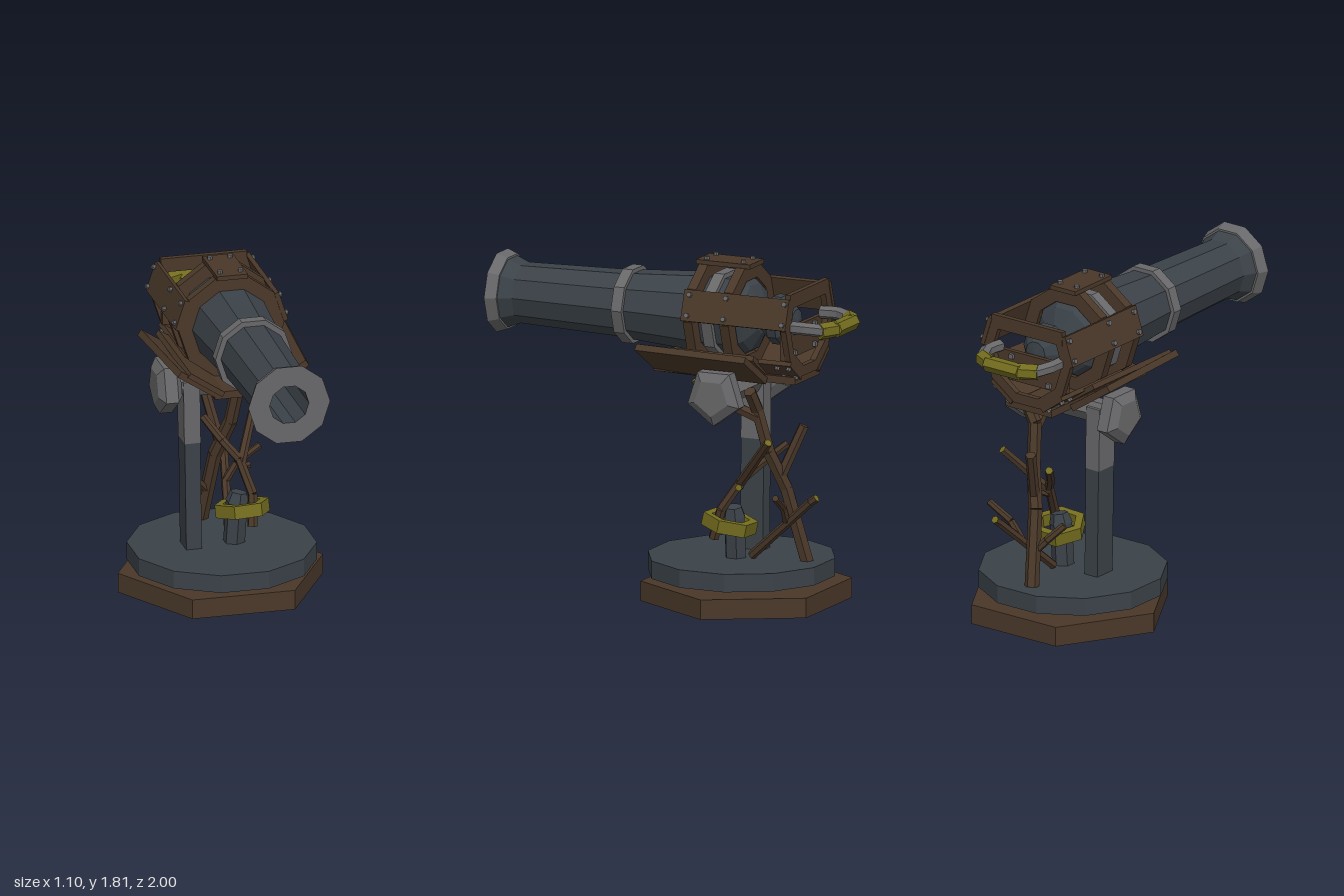
import * as THREE from 'three';

const mat = (name, color) => Object.assign(new THREE.MeshStandardMaterial({ color }), { name });
const V = (x, y, z) => new THREE.Vector3(x, y, z);

export function createModel() {
  const wood = mat('wood', 0x4a3829);
  const iron = mat('iron', 0x3b4248);
  const steel = mat('steel', 0x68686a);
  const brass = mat('brass', 0x746d1f);
  const pale = mat('paleUnderside', 0xcccccc);
  const model = new THREE.Group();
  model.name = 'cannonOnStand';
  const AXIS = 1.5; // height of the barrel axis

  // Faceted mesh
  function add(name, geo, material, parent = model) {
    const g = geo.index ? geo.toNonIndexed() : geo;
    g.computeVertexNormals();
    const m = new THREE.Mesh(g, material);
    m.name = name;
    parent.add(m);
    return m;
  }
  function box(name, material, w, h, d, x, y, z, parent) {
    const m = add(name, new THREE.BoxGeometry(w, h, d), material, parent);
    m.position.set(x, y, z);
    return m;
  }
  // Ten-sided turned part along z; points are [apothem, z] with z rising on the outside
  function turned(name, pts, material, sides = 10, from = Math.PI / 10) {
    const p = pts.map(([r, z]) => new THREE.Vector2(r / Math.cos(Math.PI / 10), z));
    const g = new THREE.LatheGeometry(p, sides, from, sides * Math.PI / 5).rotateX(Math.PI / 2);
    g.translate(0, AXIS, 0);
    return add(name, g, material);
  }
  const ring = (ri, ro, z0, z1) => [[ri, z0], [ro, z0], [ro, z1], [ri, z1], [ri, z0]];
  // Tapered stick between two points
  function stick(name, a, b, ra, rb, material, sides = 6) {
    const d = b.clone().sub(a);
    const m = add(name, new THREE.CylinderGeometry(rb, ra, d.length(), sides), material);
    m.position.copy(a).addScaledVector(d, 0.5);
    m.quaternion.setFromUnitVectors(V(0, 1, 0), d.normalize());
    return m;
  }

  // Base
  const base = add('base', new THREE.CylinderGeometry(0.548, 0.548, 0.105, 6).rotateY(Math.PI / 2), [wood, wood, pale]);
  base.position.set(0, 0.0525, -0.4);
  add('baseNeck', new THREE.CylinderGeometry(0.21, 0.21, 0.045, 6).rotateY(Math.PI / 2), wood).position.set(0, 0.122, -0.37);
  add('turntable', new THREE.CylinderGeometry(0.492, 0.492, 0.095, 12).rotateY(Math.PI / 12), iron).position.set(0, 0.1875, -0.372);

  // Column
  const column = new THREE.Group();
  column.name = 'column';
  column.position.set(-0.165, 0.23, -0.37);
  column.rotation.z = 0.014;
  model.add(column);
  box('columnLower', iron, 0.083, 0.59, 0.13, 0, 0.295, 0, column);
  box('columnUpper', steel, 0.088, 0.34, 0.13, 0, 0.76, 0, column);

  // Axle with a weight on each end
  stick('axle', V(-0.25, 1.128, -0.37), V(0.25, 1.128, -0.37), 0.065, 0.065, steel);
  for (const s of [-1, 1]) {
    const p = [[0, -0.064], [0.1, -0.064], [0.155, -0.033], [0.155, 0.033], [0.1, 0.064], [0, 0.064]]
      .map(([r, t]) => new THREE.Vector2(r, t));
    const g = new THREE.LatheGeometry(p, 5, Math.PI / 2).rotateZ(-Math.PI / 2);
    add('axleWeight', g, steel).position.set(s * 0.3, 1.133, -0.37);
  }

  // Barrel
  turned('breechBall', [[0, -0.7], [0.06, -0.69], [0.125, -0.62], [0.125, -0.57], [0.065, -0.5], [0.065, -0.47]], iron);
  turned('barrelRear', [[0, -0.5], [0.08, -0.5], [0.17, -0.45], [0.2, -0.4], [0.2, -0.17], [0.172, 0.25]], iron);
  turned('barrelFront', [[0.168, 0.25], [0.152, 0.87], [0.178, 0.94]], iron);
  turned('muzzle', [[0.17, 0.94], [0.188, 0.94], [0.208, 1], [0.1, 1]], steel);
  turned('bore', [[0.1, 1], [0.1, 0.45], [0, 0.45]], iron);
  turned('middleBand', ring(0.16, 0.195, 0.22, 0.28), steel);
  turned('rearBand', ring(0.19, 0.225, -0.31, -0.25), steel);

  // Wooden hoops round the rear of the barrel, the last one open at the top
  turned('frontHoop', ring(0.195, 0.268, -0.222, -0.17), wood);
  turned('middleHoop', ring(0.195, 0.268, -0.432, -0.38), wood);
  turned('backHoop', ring(0.215, 0.268, -0.762, -0.73), wood, 7, -0.7 * Math.PI);

  // Planks on the hoops, with bolts at their corners
  function plank(name, angle, width, z0, z1, boltZ) {
    const g = new THREE.Group();
    g.name = name;
    g.position.y = AXIS;
    g.rotation.z = angle;
    model.add(g);
    box(name + 'Board', wood, 0.024, width, z1 - z0, 0.278, 0, (z0 + z1) / 2, g);
    for (const z of boltZ) for (const s of [-1, 1]) {
      const b = add('bolt', new THREE.CylinderGeometry(0.014, 0.014, 0.02, 6).rotateZ(Math.PI / 2), steel, g);
      b.position.set(0.296, s * (width / 2 - 0.028), z);
    }
  }
  const tilt = Math.PI / 10;
  plank('topPlank', Math.PI / 2, 0.165, -0.46, -0.15, [-0.41, -0.2]);
  for (const a of [tilt, Math.PI - tilt]) plank('sidePlank', a, 0.165, -0.765, -0.165, [-0.745, -0.41, -0.2]);
  for (const a of [-3 * tilt, Math.PI + 3 * tilt]) plank('lowerPlank', a, 0.16, -0.765, -0.25, [-0.745, -0.68]);

  // Back boards
  box('backBar', wood, 0.46, 0.075, 0.03, 0, 1.65, -0.748);
  box('backBoard', wood, 0.46, 0.16, 0.026, 0, 1.415, -0.715);
  for (const s of [-1, 1]) for (const y of [1.36, 1.47]) box('backBolt', steel, 0.025, 0.025, 0.02, s * 0.12, y, -0.735);

  // Cradle: floor board and two flared wings
  box('cradleFloor', wood, 0.3, 0.04, 0.81, 0, 1.215, -0.345);
  for (const s of [-1, 1]) {
    const wing = box('cradleWing', wood, 0.275, 0.036, 0.65, s * 0.25, 1.28, -0.26);
    wing.rotation.order = 'YZX';
    wing.rotation.set(0, -s * 0.07, s * 0.59);
    const flap = box('cradleInnerWing', wood, 0.22, 0.028, 0.66, s * 0.2, 1.287, -0.25);
    flap.rotation.z = s * 0.59;
  }

  // Rear handle: two bent arms and a three-part grip
  for (const s of [-1, 1]) {
    const pts = [V(s * 0.2, 1.51, -0.73), V(s * 0.208, 1.512, -0.83), V(s * 0.16, 1.5, -0.93)];
    add('handleArm', new THREE.TubeGeometry(new THREE.CatmullRomCurve3(pts), 4, 0.034, 6), steel);
    stick('gripEnd', V(s * 0.18, 1.5, -0.905), V(s * 0.085, 1.5, -0.955), 0.043, 0.043, brass);
  }
  stick('gripMiddle', V(-0.108, 1.5, -0.957), V(0.108, 1.5, -0.957), 0.043, 0.043, brass);

  // Tree of branches propping the axle; tip sets the colour of the cut end
  function branch(name, radius, tipRadius, tip, ...pts) {
    const n = pts.length - 1;
    for (let i = 0; i < n; i++) {
      const r = t => radius + (tipRadius - radius) * t / n;
      stick(name, pts[i], pts[i + 1], r(i), r(i + 1), i === n - 1 ? [wood, tip, wood] : wood);
    }
  }
  branch('trunk', 0.038, 0.034, wood, V(-0.015, 0.23, -0.74), V(0.035, 0.62, -0.645), V(0.1, 0.82, -0.575),
    V(0.13, 1.04, -0.525), V(0.2, 1.15, -0.515));
  branch('upperBranch', 0.032, 0.026, brass, V(0.13, 1.0, -0.53), V(0.17, 1.06, -0.4), V(0.21, 1.15, -0.235),
    V(0.222, 1.19, -0.215));
  branch('backBranch', 0.03, 0.028, wood, V(0.06, 0.67, -0.62), V(0, 0.95, -0.73));
  branch('lowBranch', 0.024, 0.021, brass, V(0.06, 0.25, -0.46), V(0.13, 0.58, -0.83), V(0.13, 0.605, -0.865));
  branch('rightTwig', 0.022, 0.018, wood, V(0.1, 0.45, -0.68), V(0.16, 0.54, -0.69), V(0.29, 0.62, -0.705));
  branch('sideTwig', 0.022, 0.02, wood, V(0.01, 0.4, -0.69), V(-0.05, 0.47, -0.66), V(-0.12, 0.55, -0.6));
  branch('frontBranch', 0.028, 0.021, brass, V(0.14, 0.34, -0.28), V(0.155, 0.5, -0.33), V(0.11, 0.66, -0.43),
    V(0.04, 0.74, -0.51), V(-0.035, 0.84, -0.62));
  branch('frontFork', 0.026, 0.022, brass, V(0.115, 0.64, -0.42), V(0.25, 0.9, -0.645));
  branch('cutStub', 0.02, 0.018, brass, V(0.115, 0.62, -0.42), V(0.165, 0.625, -0.435));

  // Short post with a loose hexagonal collar
  stick('post', V(0.065, 0.23, -0.37), V(0.08, 0.46, -0.37), 0.058, 0.058, iron);
  stick('postCap', V(0.08, 0.45, -0.37), V(0.09, 0.505, -0.37), 0.062, 0.045, iron);
  const hex = r => Array.from({ length: 6 }, (_, i) =>
    new THREE.Vector2(r * Math.cos(i * Math.PI / 3), r * Math.sin(i * Math.PI / 3)));
  const shape = new THREE.Shape(hex(0.145));
  shape.holes.push(new THREE.Path(hex(0.1)));
  const collarGeo = new THREE.ExtrudeGeometry(shape, { depth: 0.068, bevelEnabled: false });
  collarGeo.translate(0, 0, -0.034).rotateX(-Math.PI / 2);
  const collar = add('collar', collarGeo, brass);
  collar.position.set(0.105, 0.42, -0.355);
  collar.rotation.set(0.2, 0, 0.05);
  collar.rotation.x *= -1;

  return model;
}
